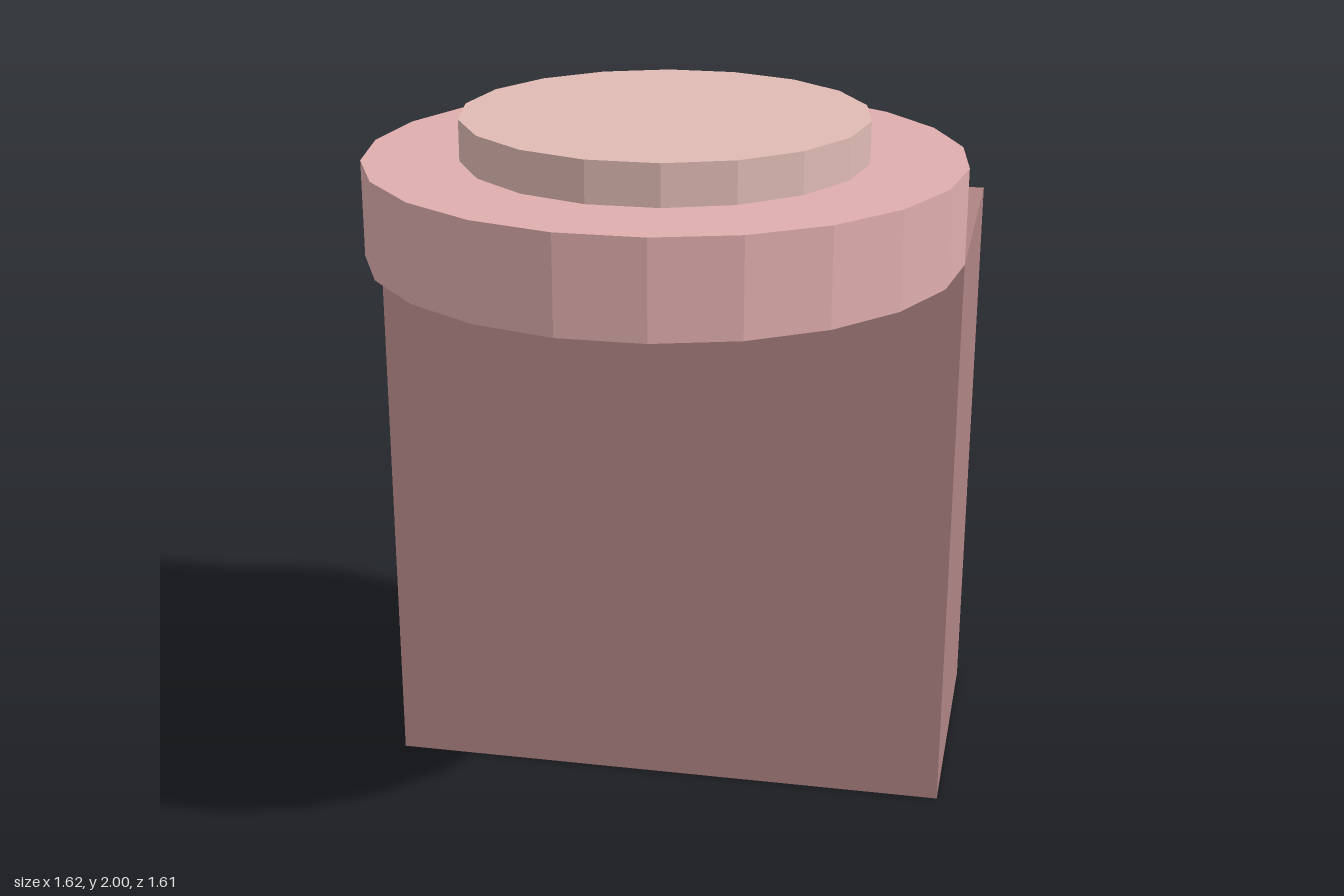
import * as THREE from 'three';

const material = (color) => new THREE.MeshStandardMaterial({ color, flatShading: true });

// Upright faceted disc with a corner on the +x axis
function disc(name, radius, bottom, top, sides, color) {
  const geometry = new THREE.CylinderGeometry(radius, radius, top - bottom, sides, 1, false, Math.PI / 2);
  const mesh = new THREE.Mesh(geometry, material(color));
  mesh.name = name;
  mesh.position.set(0, (bottom + top) / 2, 0.004);
  return mesh;
}

export function createModel() {
  const group = new THREE.Group();
  group.name = 'cappedBlock';

  // Block under the rear half of the cap
  const height = 1.626, depth = 0.812;
  const block = new THREE.Mesh(new THREE.BoxGeometry(1.62, height, depth), material(0xae8484));
  block.name = 'block';
  block.position.set(0, height / 2, 0.004 - depth / 2);
  group.add(block);

  // Wide cap overhanging the front, with a smaller raised disc on top
  group.add(disc('cap', 0.81, height, 1.888, 22, 0xdfadad));
  group.add(disc('raisedDisc', 0.55, 1.888, 2, 18, 0xdfbab3));

  return group;
}
